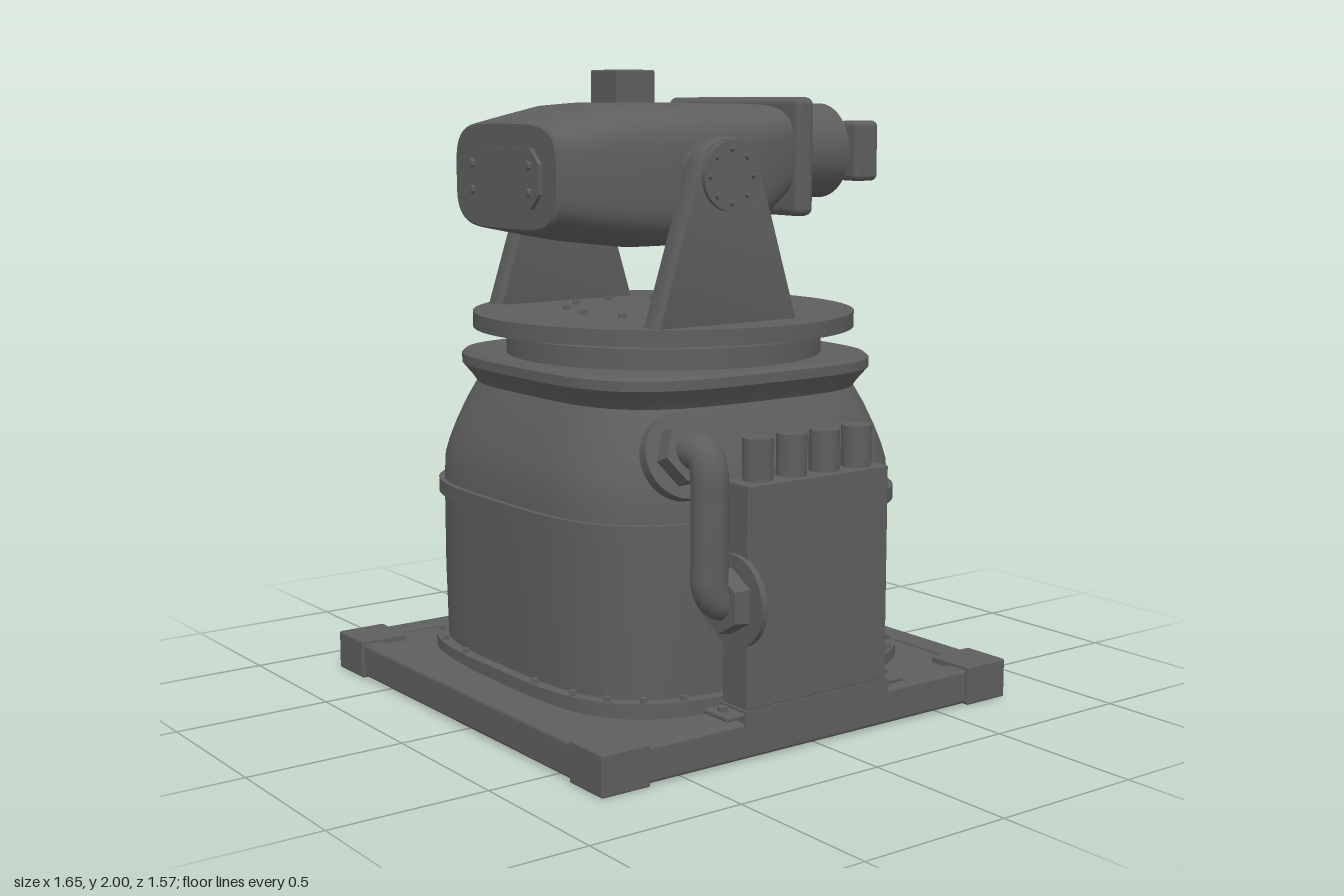
import * as THREE from 'three';
import { toCreasedNormals } from 'three/addons/utils/BufferGeometryUtils.js';
import { RoundedBoxGeometry } from 'three/addons/geometries/RoundedBoxGeometry.js';

const CX = -0.04; // turret axis in x
const Y = new THREE.Vector3(0, 1, 0);
const v = (x, y, z) => new THREE.Vector3(x, y, z);

// Point on a rounded-square outline of half sizes w, d
function outline(a, w, d, n) {
  const c = Math.cos(a), s = Math.sin(a);
  return [w * Math.sign(c) * Math.abs(c) ** (2 / n), d * Math.sign(s) * Math.abs(s) ** (2 / n)];
}

// Capped loft along y through sections [y, halfWidth, halfDepth, zOffset]
function loft(sections, n, segs = 80) {
  const pos = [], idx = [];
  for (const [y, w, d, off = 0] of sections)
    for (let i = 0; i < segs; i++) {
      const [x, z] = outline((i / segs) * Math.PI * 2, w, d, n);
      pos.push(x, y, z + off);
    }
  const last = sections.length - 1;
  for (let k = 0; k < last; k++)
    for (let i = 0; i < segs; i++) {
      const j = (i + 1) % segs, a = k * segs + i, b = k * segs + j;
      idx.push(a, a + segs, b, b, a + segs, b + segs);
    }
  const c0 = pos.length / 3;
  for (const s of [sections[0], sections[last]]) pos.push(0, s[0], s[3] || 0);
  for (let i = 0; i < segs; i++) {
    const j = (i + 1) % segs;
    idx.push(c0, i, j, c0 + 1, last * segs + j, last * segs + i);
  }
  const g = new THREE.BufferGeometry();
  g.setAttribute('position', new THREE.Float32BufferAttribute(pos, 3));
  g.setIndex(idx);
  return toCreasedNormals(g, 0.45);
}

// Rectangle with cut corners
function octagon(w, h, c) {
  const s = new THREE.Shape();
  [[-w, -h + c], [-w + c, -h], [w - c, -h], [w, -h + c], [w, h - c], [w - c, h], [-w + c, h], [-w, h - c]]
    .forEach(([x, y], i) => (i ? s.lineTo(x, y) : s.moveTo(x, y)));
  return s;
}

export function createModel() {
  const model = new THREE.Group();
  model.name = 'turret';
  const metal = new THREE.MeshStandardMaterial({ color: 0x5e5e5e });
  metal.name = 'dark grey metal';

  const add = (name, geo, x = 0, y = 0, z = 0) => {
    const m = new THREE.Mesh(geo, metal);
    m.name = name;
    m.position.set(x, y, z);
    model.add(m);
    return m;
  };
  // Box from opposite corners, with an optional rounded edge
  const box = (name, x0, x1, y0, y1, z0, z1, r = 0) => add(name,
    r ? new RoundedBoxGeometry(x1 - x0, y1 - y0, z1 - z0, 2, r) : new THREE.BoxGeometry(x1 - x0, y1 - y0, z1 - z0),
    (x0 + x1) / 2, (y0 + y1) / 2, (z0 + z1) / 2);
  // Cylinder starting at p and running along dir
  const rod = (name, p, dir, r, len, sides = 32, rEnd = r) => {
    const g = new THREE.CylinderGeometry(rEnd, r, len, sides);
    g.translate(0, len / 2, 0);
    const m = add(name, sides <= 8 ? toCreasedNormals(g, 0.3) : g, p.x, p.y, p.z);
    m.quaternion.setFromUnitVectors(Y, dir.clone().normalize());
    return m;
  };
  const bolt = (p, dir, r = 0.012) => rod('bolt', p, dir, r, 0.014, 6);
  const boltCircle = (n, r, y, size) => {
    for (let i = 0; i < n; i++) {
      const a = (i / n) * Math.PI * 2;
      bolt(v(CX + r * Math.cos(a), y, r * Math.sin(a)), Y, size);
    }
  };

  // Base frame: corner blocks, beams and deck
  for (const sx of [-1, 1]) {
    for (const sz of [-1, 1])
      add('cornerBlock', new RoundedBoxGeometry(0.165, 0.125, 0.165, 2, 0.006), CX + sx * 0.7025, 0.0675, sz * 0.7025);
    add('sideBeam', new RoundedBoxGeometry(0.08, 0.11, 1.25, 2, 0.012), CX + sx * 0.738, 0.065, 0);
    add('endBeam', new RoundedBoxGeometry(1.25, 0.11, 0.08, 2, 0.012), CX, 0.065, sx * 0.738);
  }
  box('deck', CX - 0.71, CX + 0.71, 0.09, 0.108, -0.71, 0.71);

  // Pedestal with bottom flange, waist band and flared rim
  const profile = [[0.1, 0.62], [0.13, 0.62], [0.13, 0.65], [0.165, 0.65], [0.165, 0.615], [0.4, 0.62],
    [0.645, 0.62], [0.645, 0.636], [0.69, 0.636], [0.69, 0.62], [0.77, 0.616], [0.82, 0.603], [0.88, 0.582],
    [0.95, 0.553], [1.01, 0.523], [1.03, 0.535], [1.07, 0.565], [1.1, 0.565], [1.112, 0.553]];
  add('pedestal', loft(profile.map(([y, w]) => [y, w, w]), 3.6), CX);
  for (let i = 0; i < 24; i++) {
    const [x, z] = outline(((i + 0.5) / 24) * Math.PI * 2, 0.634, 0.634, 3.6);
    bolt(v(CX + x, 0.165, z), Y);
  }

  // Slewing ring and turntable
  rod('slewRing', v(CX, 1.11, 0), Y, 0.505, 0.065, 72);
  rod('slewNeck', v(CX, 1.17, 0), Y, 0.375, 0.03, 64);
  rod('turntable', v(CX, 1.195, 0), Y, 0.61, 0.05, 80);
  boltCircle(24, 0.44, 1.175, 0.011);
  boltCircle(12, 0.31, 1.245, 0.014);

  // Access hatch on the right-hand wall
  const hatch = new THREE.ExtrudeGeometry(octagon(0.29, 0.17, 0.05),
    { depth: 0.04, bevelEnabled: true, bevelSize: 0.008, bevelThickness: 0.008, bevelSegments: 1 });
  add('hatch', hatch, -0.64, 0.425, 0.03).rotation.y = -Math.PI / 2;
  box('hatchLatch', -0.708, -0.68, 0.4, 0.465, -0.22, -0.17, 0.006);
  for (const y of [0.33, 0.52]) rod('hatchHinge', v(-0.675, y - 0.03, 0.325), Y, 0.016, 0.06, 12);

  // Equipment cabinet with four canisters and mounting feet
  box('cabinet', 0.62, 0.738, 0.155, 0.82, -0.27, 0.27, 0.006);
  box('cabinetBase', 0.62, 0.742, 0.105, 0.157, -0.28, 0.28);
  for (const z of [-0.19, -0.063, 0.063, 0.19]) rod('canister', v(0.68, 0.81, z), Y, 0.046, 0.135);
  for (const s of [-1, 1]) {
    box('mountingFoot', 0.625, 0.738, 0.135, 0.15, s * 0.305 - 0.04, s * 0.305 + 0.04, 0.005);
    bolt(v(0.68, 0.15, s * 0.315), Y, 0.016);
  }

  // Conduit from pedestal to cabinet with flanges and hex nuts
  const out = v(0.92, 0.36, 0.1).normalize(), root = v(0.54, 0.885, 0.36);
  const at = (d) => root.clone().addScaledVector(out, d);
  rod('upperFlange', at(-0.02), out, 0.128, 0.04, 40);
  rod('upperNut', at(0.01), out, 0.098, 0.06, 6, 0.09);
  const path = new THREE.CatmullRomCurve3([at(0), at(0.075), v(0.655, 0.905, 0.365), v(0.677, 0.86, 0.365),
    v(0.68, 0.77, 0.365), v(0.68, 0.6, 0.365), v(0.68, 0.525, 0.362), v(0.68, 0.485, 0.34), v(0.68, 0.475, 0.3),
    v(0.68, 0.475, 0.26)]);
  add('conduit', new THREE.TubeGeometry(path, 60, 0.055, 20));
  rod('lowerFlange', v(0.685, 0.475, 0.265), v(0, 0, 1), 0.137, 0.02, 40);
  rod('lowerNut', v(0.68, 0.475, 0.28), v(0, 0, 1), 0.1, 0.055, 6, 0.092);

  // Yoke arms with trunnions
  const HY = 1.685, HZ = 0.105, arm = new THREE.Shape();
  arm.moveTo(-0.255, 0);
  arm.lineTo(0.255, 0);
  arm.lineTo(0.108, HY - 1.245 + 0.03);
  arm.absarc(0, HY - 1.245, 0.105, 0.25, Math.PI - 0.25, false);
  arm.closePath();
  const armGeo = toCreasedNormals(new THREE.ExtrudeGeometry(arm,
    { depth: 0.055, bevelEnabled: true, bevelSize: 0.01, bevelThickness: 0.01, bevelSegments: 2, curveSegments: 24 }), 0.5);
  armGeo.translate(0, 0, -0.0275);
  for (const s of [-1, 1]) {
    const side = v(s, 0, 0);
    add('yokeArm', armGeo, CX + s * 0.4375, 1.245, HZ).rotation.y = Math.PI / 2;
    rod('trunnion', v(CX + s * 0.3, HY, HZ), side, 0.1, 0.11, 40);
    rod('trunnionCap', v(CX + s * 0.47, HY, HZ), side, 0.105, 0.02, 40);
    for (let i = 0; i < 8; i++) {
      const a = (i / 8) * Math.PI * 2;
      for (const [x, d] of [[0.49, 1], [0.4, -1]])
        bolt(v(CX + s * x, HY + 0.08 * Math.sin(a), HZ + 0.08 * Math.cos(a)), v(s * d, 0, 0), 0.011);
    }
  }

  // Housing: sections [z, halfWidth, bottom, top]
  const hull = [[-0.28, 0.32, 1.59, 1.895], [-0.2, 0.345, 1.535, 1.897], [-0.09, 0.367, 1.468, 1.898],
    [0.02, 0.38, 1.46, 1.9], [0.12, 0.38, 1.46, 1.9], [0.25, 0.365, 1.46, 1.9], [0.35, 0.348, 1.472, 1.893],
    [0.47, 0.32, 1.495, 1.868], [0.585, 0.292, 1.518, 1.843], [0.592, 0.283, 1.524, 1.837]];
  const hullGeo = loft(hull.map(([z, w, b, t]) => [z, w, (t - b) / 2, -(t + b) / 2]), 4);
  add('housing', hullGeo.rotateX(Math.PI / 2), CX);
  const panel = new THREE.ExtrudeGeometry(octagon(0.208, 0.09, 0.045), { depth: 0.02, bevelEnabled: false });
  add('frontPanel', panel, CX, 1.677, 0.585);
  for (const x of [-0.16, 0.16]) for (const y of [1.637, 1.717]) bolt(v(CX + x, y, 0.603), v(0, 0, 1), 0.013);

  // Sensor box on the roof
  box('roofSensor', CX - 0.073, CX + 0.073, 1.88, 2, 0.085, 0.23, 0.006);
  box('sensorFrame', CX - 0.045, CX + 0.045, 1.915, 1.975, 0.074, 0.09, 0.005);

  // Rear collar plate, drum and end block
  box('rearCollar', CX - 0.345, CX + 0.345, 1.545, 1.917, -0.34, -0.268, 0.025);
  rod('rearDrum', v(CX, 1.74, -0.32), v(0, 0, -1), 0.157, 0.33, 48);
  box('endBlock', CX - 0.09, CX + 0.09, 1.65, 1.83, -0.785, -0.64, 0.008);
  for (const s of [-1, 1])
    add('endLobe', new RoundedBoxGeometry(0.1, 0.2, 0.1, 3, 0.02), CX + s * 0.11, 1.74, -0.73);
  return model;
}
